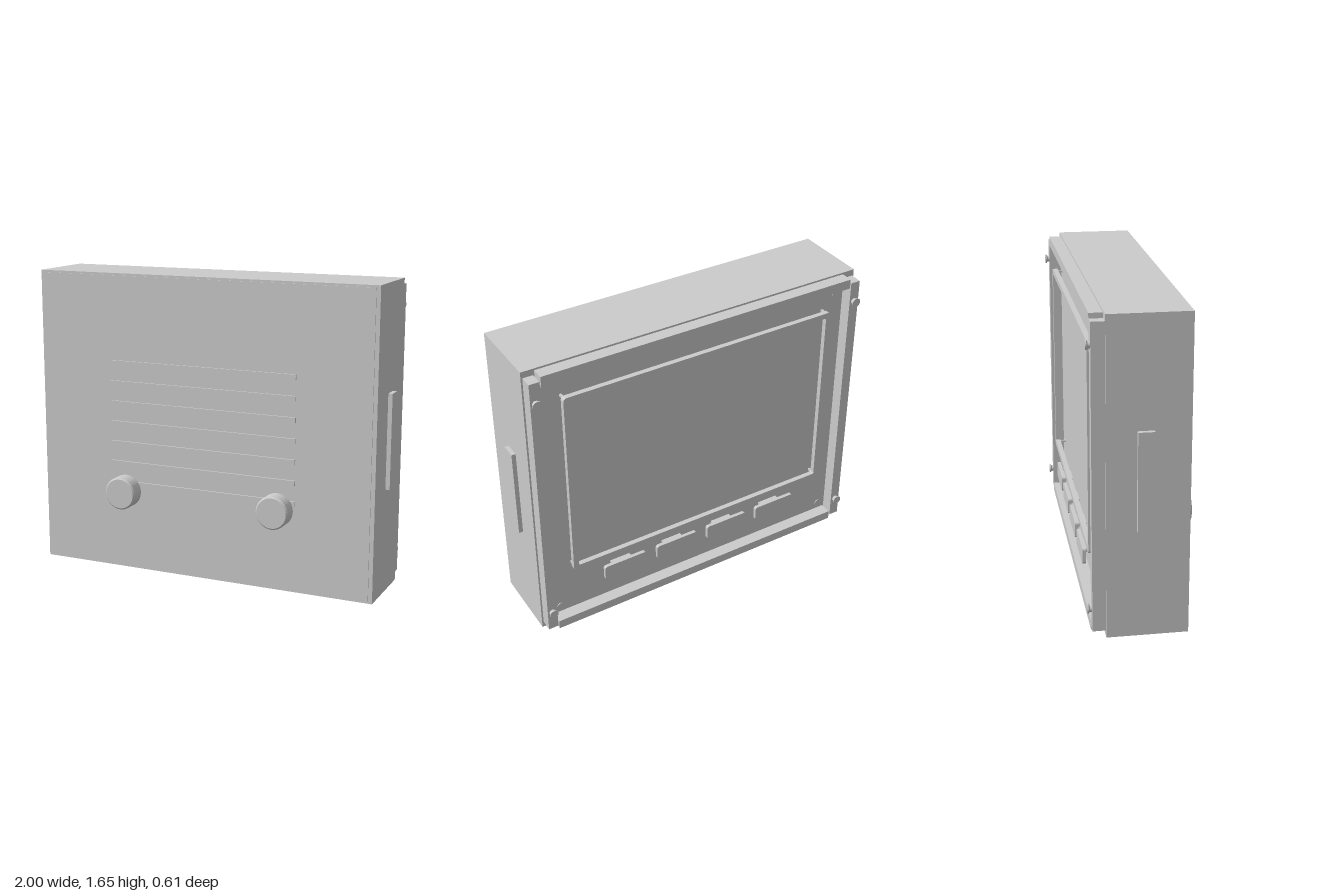
import * as THREE from 'three';

const grey = new THREE.MeshStandardMaterial({ color: 0xcbcbcb });
grey.name = 'light grey';

const BACK = -0.214; // rear face of the case

export function createModel() {
  const model = new THREE.Group();
  model.name = 'panelUnit';

  const add = (name, geometry, x = 0, y = 0, z = 0) => {
    const mesh = new THREE.Mesh(geometry, grey);
    mesh.name = name;
    mesh.position.set(x, y, z);
    model.add(mesh);
    return mesh;
  };

  // Box given by its limits on each axis
  const block = (name, x0, x1, y0, y1, z0, z1) =>
    add(name, new THREE.BoxGeometry(Math.abs(x1 - x0), y1 - y0, z1 - z0),
      (x0 + x1) / 2, (y0 + y1) / 2, (z0 + z1) / 2);

  // Round part turned around the z axis, from [radius, z] pairs in order of rising z
  const turned = (name, profile, x, y) => {
    const points = profile.map(([r, z]) => new THREE.Vector2(r, z));
    const geometry = new THREE.LatheGeometry(points, 40).rotateX(Math.PI / 2).toNonIndexed();
    geometry.computeVertexNormals();
    return add(name, geometry, x, y, 0);
  };

  const roundedRect = (w, h, r, Type = THREE.Shape) => {
    const s = new Type();
    s.absarc(w / 2 - r, h / 2 - r, r, 0, Math.PI / 2);
    s.absarc(-w / 2 + r, h / 2 - r, r, Math.PI / 2, Math.PI);
    s.absarc(-w / 2 + r, -h / 2 + r, r, Math.PI, Math.PI * 1.5);
    s.absarc(w / 2 - r, -h / 2 + r, r, Math.PI * 1.5, Math.PI * 2);
    s.closePath();
    return s;
  };
  const extrude = (shape, depth) =>
    new THREE.ExtrudeGeometry(shape, { depth, bevelEnabled: false, curveSegments: 4 });

  // Case and front plate
  block('case', -0.977, 0.977, 0, 1.655, BACK, 0.2);
  block('frontPlate', -0.955, 0.955, 0.012, 1.643, 0.2, 0.205);

  // Front slats
  for (let i = 0; i < 7; i++) {
    const y = 0.49 + i * 0.1127;
    block('slat', -0.543, 0.543, y - 0.014, y + 0.014, 0.2, 0.215);
  }

  for (const side of [-1, 1]) {
    // Knob with bevelled rims
    turned('knob', [[0, 0.214], [0.082, 0.214], [0.09, 0.222], [0.09, 0.296],
      [0.082, 0.304], [0, 0.304]], side * 0.45, 0.453);

    // Side grip and upright rear rail
    block('sideGrip', side * 0.97, side, 0.572, 1.083, -0.063, 0.02);
    block('uprightRail', side * 0.912, side * 0.968, 0.035, 1.62, -0.282, BACK);

    // Rail screws with a slightly flared head
    for (const y of [0.15, 1.505]) {
      turned('railScrew', [[0, -0.305], [0.025, -0.305], [0.025, -0.299],
        [0.018, -0.292], [0.018, -0.28]], side * 0.94, y);
    }

    // Small screws set in the rear face
    for (const y of [0.105, 1.54]) {
      turned('plateScrew', [[0, -0.218], [0.017, -0.218], [0.017, -0.21]], side * 0.862, y);
    }

    // Posts that carry the screen frame
    for (const y of [0.39, 1.462]) {
      block('framePost', side * 0.774, side * 0.786, y - 0.006, y + 0.006, -0.255, BACK);
    }
  }

  // Horizontal rear rails
  block('lowerRail', -0.905, 0.905, 0.011, 0.063, -0.282, BACK);
  block('upperRail', -0.905, 0.905, 1.592, 1.645, -0.282, BACK);

  // Raised frame around the screen area
  const frame = roundedRect(1.59, 1.105, 0.02);
  frame.holes.push(roundedRect(1.53, 1.045, 0.008, THREE.Path));
  add('screenFrame', extrude(frame, 0.028), 0, 0.926, -0.278);

  // Rear buttons on slim stems
  for (let i = 0; i < 4; i++) {
    const x = (i - 1.5) * 0.325;
    add('button', extrude(roundedRect(0.256, 0.09, 0.014), 0.02), x, 0.276, -0.287);
    block('buttonStem', x - 0.06, x + 0.06, 0.266, 0.286, -0.27, BACK);
  }

  return model;
}
